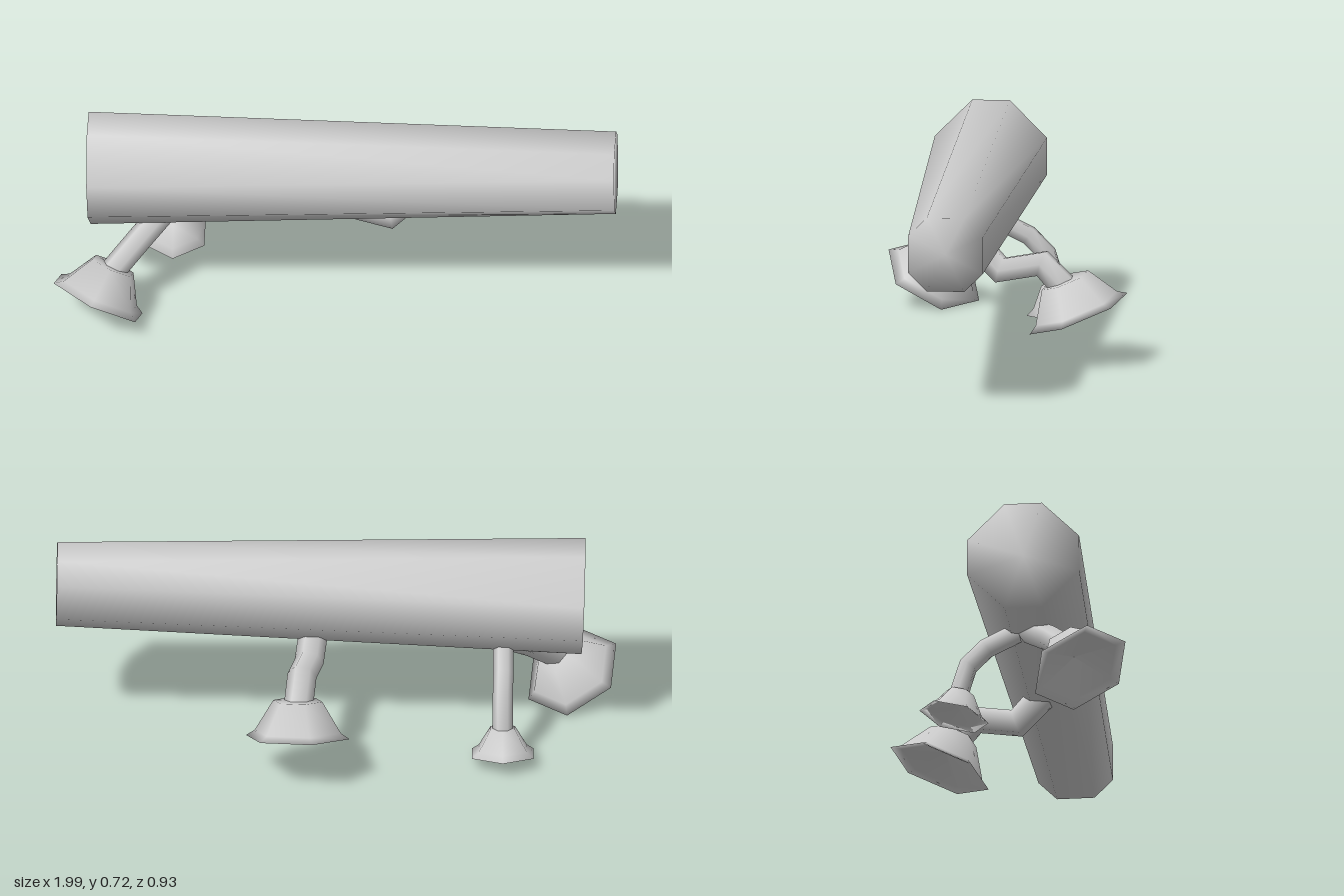
import * as THREE from 'three';

const material = new THREE.MeshStandardMaterial({ color: 0xcccccc });
const V = (p) => new THREE.Vector3(...p);

function mesh(name, geometry) {
  const m = new THREE.Mesh(geometry, material);
  m.name = name;
  return m;
}

// Tapered eight-sided trunk: two octagon rings sharing smooth normals with their caps
function trunkGeometry() {
  const flat = 0.067; // half the width of the upright and level sides
  const ends = [
    { x: -0.875, y: 0.53, r: 0.2, lean: -0.035 },
    { x: 0.997, y: 0.58, r: 0.133, lean: -0.02 },
  ];
  const positions = [], index = [];
  for (const { x, y, r, lean } of ends) {
    const ring = [[r, flat], [flat, r], [-flat, r], [-r, flat], [-r, -flat], [-flat, -r], [flat, -r], [r, -flat]];
    for (const [dy, dz] of ring) positions.push(x + lean * dy, y + dy, 0.1 + dz);
    positions.push(x, y, 0.1);
  }
  for (let i = 0; i < 8; i++) {
    const j = (i + 1) % 8;
    index.push(i, j + 9, i + 9, i, j, j + 9); // side
    index.push(8, j, i, 17, i + 9, j + 9); // end caps
  }
  const g = new THREE.BufferGeometry();
  g.setAttribute('position', new THREE.Float32BufferAttribute(positions, 3));
  g.setIndex(index);
  g.computeVertexNormals();
  return g;
}

// Kinked stalk with one ring of vertices at each path point
function stalkGeometry(points, radius) {
  const path = new THREE.CatmullRomCurve3(points.map(V));
  path.getPointAt = (u, target) => path.getPoint(u, target);
  path.getTangentAt = (u, target) => path.getTangent(u, target);
  return new THREE.TubeGeometry(path, points.length - 1, radius, 6);
}

// Six-sided cap with a thin brim and a hollow underside, mouth at y = 0
function capGeometry({ rim, base, top, height }) {
  const profile = [
    [0, height * 0.5], [rim * 0.8, 0.01], [rim, 0],
    [base, 0.02], [top, height], [0, height],
  ].map(([x, y]) => new THREE.Vector2(x, y));
  return new THREE.LatheGeometry(profile, 6);
}

const sprouts = [
  {
    name: 'frontSprout', stalkRadius: 0.046,
    path: [[-0.59, 0.37, 0.09], [-0.69, 0.285, 0.18], [-0.8, 0.18, 0.27]],
    cap: { rim: 0.185, base: 0.152, top: 0.085, height: 0.13 },
    mouth: [-0.835, 0.1, 0.3], facing: [-0.39, -0.83, 0.39], spin: -0.2,
  },
  {
    name: 'backSprout', stalkRadius: 0.052,
    path: [[0.08, 0.43, 0.08], [0.1, 0.33, -0.02], [0.125, 0.362, -0.17], [0.14, 0.27, -0.26]],
    cap: { rim: 0.19, base: 0.158, top: 0.09, height: 0.13 },
    mouth: [0.14, 0.185, -0.3], facing: [0, -0.93, -0.37], spin: 0.27,
  },
  {
    name: 'smallSprout', stalkRadius: 0.036,
    path: [[-0.59, 0.36, 0.05], [-0.59, 0.305, -0.06], [-0.588, 0.24, -0.125], [-0.588, 0.11, -0.165]],
    cap: { rim: 0.127, base: 0.098, top: 0.05, height: 0.095 },
    mouth: [-0.588, 0.043, -0.176], facing: [0, -0.97, -0.24], spin: 0,
  },
];

export function createModel() {
  const model = new THREE.Group();
  model.name = 'logWithMushrooms';
  model.add(mesh('log', trunkGeometry()));

  // Mushrooms hanging from the underside
  for (const s of sprouts) {
    const group = new THREE.Group();
    group.name = s.name;
    const cap = mesh('cap', capGeometry(s.cap).rotateY(s.spin));
    cap.quaternion.setFromUnitVectors(new THREE.Vector3(0, -1, 0), V(s.facing).normalize());
    cap.position.set(...s.mouth);
    group.add(mesh('stalk', stalkGeometry(s.path, s.stalkRadius)), cap);
    model.add(group);
  }
  return model;
}
